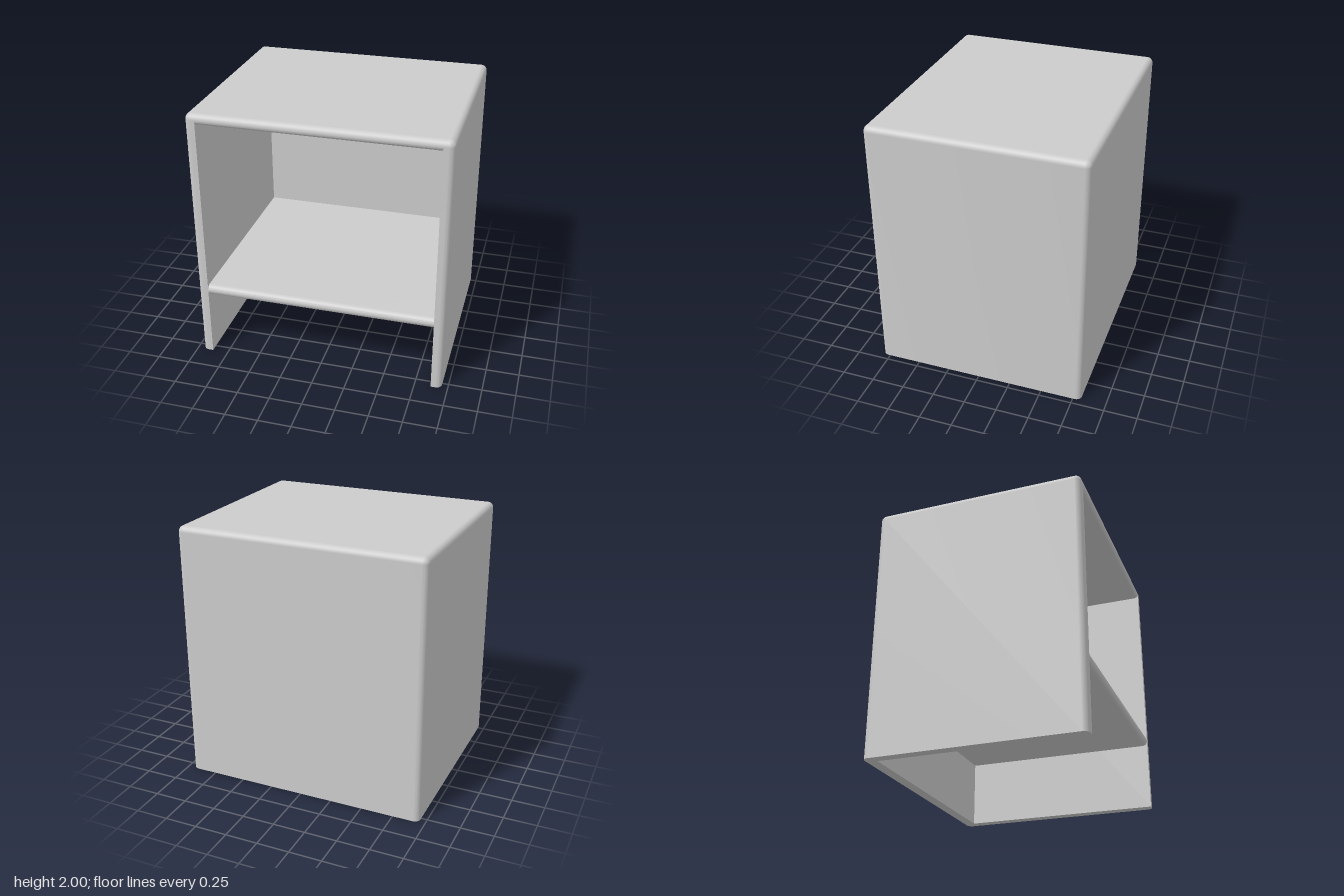
import * as THREE from 'three';
import { toCreasedNormals } from 'three/addons/utils/BufferGeometryUtils.js';

const W = 0.953, D = 0.81, H = 2;   // half width, half depth, height
const T = 0.08, R = 0.045;          // panel thickness, outer edge radius
const IN = W - T, BACK = -D + T;    // inner faces of the sides and back
const SEG = 8;

const material = new THREE.MeshStandardMaterial({ color: 0xcccccc });

function addMesh(group, name, geometry) {
  const mesh = new THREE.Mesh(geometry, material);
  mesh.name = name;
  group.add(mesh);
}

function extrude(shape, depth) {
  return new THREE.ExtrudeGeometry(shape, { depth, bevelEnabled: false, curveSegments: SEG });
}

// U-shaped plan: rounded outer corners, square inner corners (shape y = -z)
function wallsGeometry(height) {
  const s = new THREE.Shape();
  s.moveTo(IN, -D);
  s.lineTo(W - R, -D);
  s.absarc(W - R, -D + R, R, -Math.PI / 2, 0);
  s.absarc(W - R, D - R, R, 0, Math.PI / 2);
  s.absarc(-W + R, D - R, R, Math.PI / 2, Math.PI);
  s.absarc(-W + R, -D + R, R, Math.PI, Math.PI * 1.5);
  s.lineTo(-IN, -D);
  s.lineTo(-IN, -BACK);
  s.lineTo(IN, -BACK);
  s.closePath();
  return toCreasedNormals(extrude(s, height).rotateX(-Math.PI / 2), 0.6);
}

// Horizontal panel between the sides, its front edge rounded below and optionally above
function panelGeometry(y0, y1, rBottom, rTop) {
  const s = new THREE.Shape();
  s.moveTo(BACK, y0);
  s.lineTo(D - rBottom, y0);
  s.absarc(D - rBottom, y0 + rBottom, rBottom, -Math.PI / 2, 0);
  if (rTop > 0) s.absarc(D - rTop, y1 - rTop, rTop, 0, Math.PI / 2);
  else s.lineTo(D, y1);
  s.lineTo(BACK, y1);
  s.closePath();
  const g = extrude(s, 2 * IN).rotateY(-Math.PI / 2).translate(IN, 0, 0);
  return toCreasedNormals(g, 0.6);
}

// Top skin: rounded-rectangle loops curving inwards up to a flat face
function topGeometry() {
  const pos = [], nor = [], idx = [];
  const corners = [[1, 1], [1, -1], [-1, -1], [-1, 1]];
  const N = 4 * (SEG + 1);
  for (let j = 0; j <= SEG; j++) {
    const a = (j / SEG) * Math.PI / 2;
    corners.forEach(([sx, sz], c) => {
      for (let i = 0; i <= SEG; i++) {
        const b = Math.PI / 2 * (1 - c - i / SEG);
        const n = [Math.cos(a) * Math.cos(b), Math.sin(a), Math.cos(a) * Math.sin(b)];
        pos.push(sx * (W - R) + R * n[0], H - R + R * n[1], sz * (D - R) + R * n[2]);
        nor.push(...n);
      }
    });
  }
  for (let j = 0; j < SEG; j++) {
    for (let i = 0; i < N; i++) {
      const p = j * N + i, q = j * N + (i + 1) % N;
      idx.push(p, q, q + N, p, q + N, p + N);
    }
  }
  // Flat centre
  const top = pos.length / 3;
  pos.push(0, H, 0);
  nor.push(0, 1, 0);
  for (let i = 0; i < N; i++) idx.push(top, SEG * N + i, SEG * N + (i + 1) % N);
  const g = new THREE.BufferGeometry();
  g.setAttribute('position', new THREE.Float32BufferAttribute(pos, 3));
  g.setAttribute('normal', new THREE.Float32BufferAttribute(nor, 3));
  g.setIndex(idx);
  return g;
}

export function createModel() {
  const group = new THREE.Group();
  group.name = 'nightstand';
  addMesh(group, 'sidesAndBack', wallsGeometry(H - R));
  addMesh(group, 'topSurface', topGeometry());
  addMesh(group, 'topUnderside', panelGeometry(H - T, H - R, T - R, 0));
  addMesh(group, 'shelf', panelGeometry(0.52, 0.6, 0.04, 0.04));
  return group;
}
